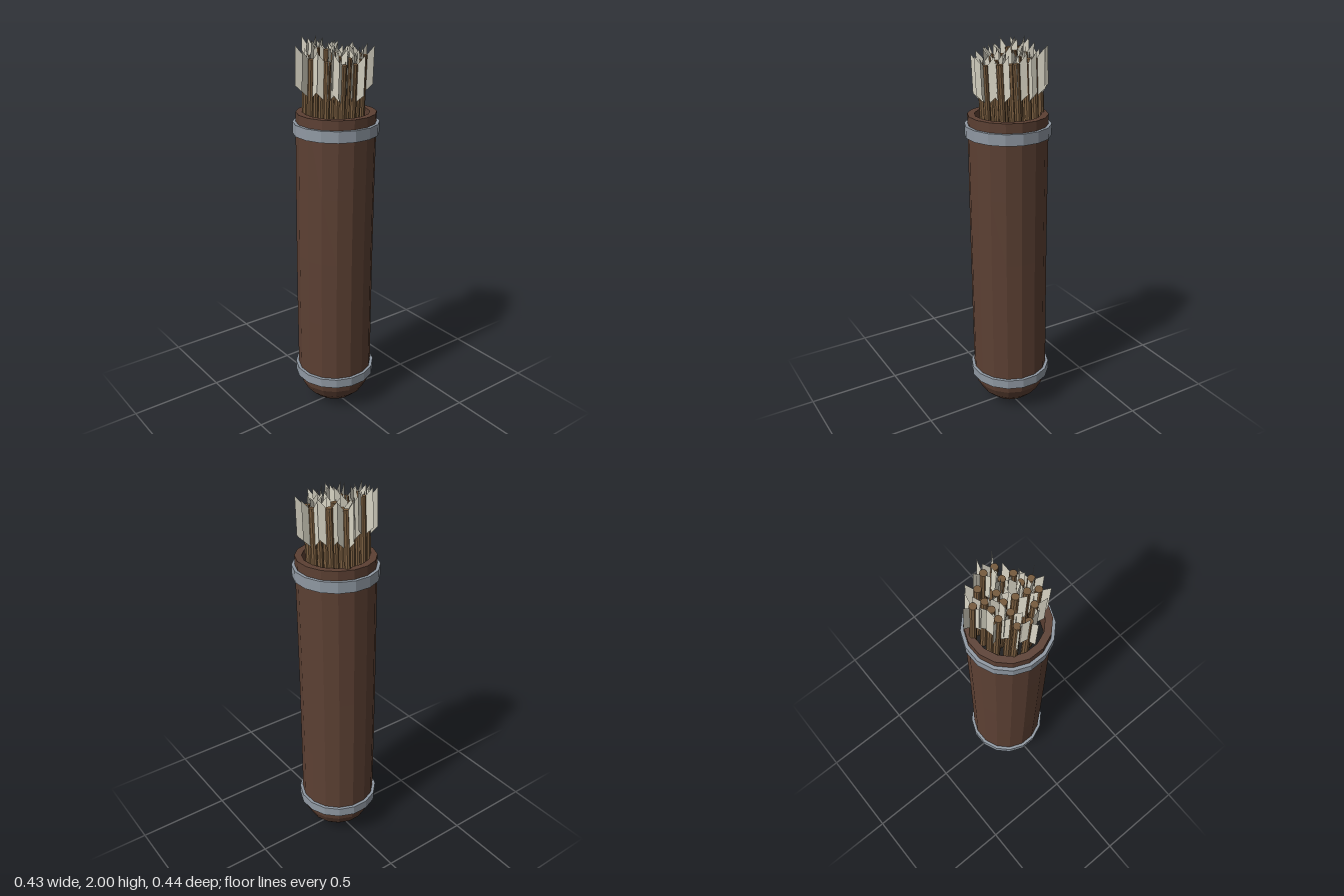
import * as THREE from 'three';

const mat = (color, extra = {}) =>
  new THREE.MeshStandardMaterial({ color, flatShading: true, ...extra });

export function createModel() {
  const model = new THREE.Group();
  const SIDES = 16;
  const leather = mat(0x5c4033);
  const metal = mat(0x9099a3);
  const wood = mat(0x785c3e);
  const feather = mat(0xd8d4c4, { side: THREE.DoubleSide });
  const dark = mat(0x0c0c0c);

  // The tube leans slightly forward and bows a little to one side
  const leanZ = (y) => -0.006 + 0.015 * (y / 1.65);
  const bowX = (y) => -0.005 * Math.sin((Math.PI * Math.min(y, 1.65)) / 1.65);

  const add = (geometry, material, name, parent = model) => {
    const mesh = new THREE.Mesh(geometry, material);
    mesh.name = name;
    parent.add(mesh);
    return mesh;
  };

  const turned = (points, material, name) => {
    const g = new THREE.LatheGeometry(
      points.map(([r, y]) => new THREE.Vector2(r, y)), SIDES, Math.PI / SIDES);
    const p = g.attributes.position;
    for (let i = 0; i < p.count; i++) {
      const y = p.getY(i);
      p.setX(i, p.getX(i) + bowX(y));
      p.setZ(i, p.getZ(i) + leanZ(y));
    }
    g.computeVertexNormals();
    return add(g, material, name);
  };

  // Leather tube: domed base, long wall, thick rim and inner wall
  const profile = [];
  for (let i = 0; i <= 5; i++) {
    const a = (i / 5) * Math.PI / 2;
    profile.push([0.2 * Math.sin(a), 0.19 * (1 - Math.cos(a))]);
  }
  profile.push([0.2, 0.55], [0.2, 0.9], [0.2, 1.25], [0.2, 1.645],
    [0.165, 1.645], [0.165, 1.5]);
  turned(profile, leather, 'tube');
  turned([[0.165, 1.5], [0, 1.5]], dark, 'tubeInterior');

  // Metal bands
  for (const [y0, y1, name] of [[0.175, 0.225, 'lowerBand'], [1.54, 1.597, 'upperBand']]) {
    turned([[0.195, y0], [0.216, y0], [0.216, y1], [0.195, y1]], metal, name);
  }

  // Feather vane, swept up and outward from the shaft end
  const vane = new THREE.ShapeGeometry(new THREE.Shape([
    new THREE.Vector2(0.014, -0.18), new THREE.Vector2(0.052, -0.145),
    new THREE.Vector2(0.052, 0.045), new THREE.Vector2(0.014, 0),
  ]));

  // Arrows: x, z and height of the shaft end, turn of the feathers
  const arrows = [
    [0.05, -0.136, 1.92, 0.05], [-0.07, -0.1, 1.95, 0.5], [-0.013, -0.09, 1.93, -0.4],
    [0.04, -0.083, 1.91, 0.9], [0.098, -0.073, 1.92, -0.6], [-0.132, -0.053, 1.92, 2.6],
    [-0.078, -0.043, 1.95, 0.4], [-0.022, -0.035, 1.94, -0.5], [0.035, -0.025, 1.92, 2.1],
    [-0.143, 0.002, 1.91, 1.6], [-0.03, 0.022, 1.93, 3.6], [0.145, -0.005, 1.91, -0.08],
    [0.08, 0.04, 1.9, 0.3], [0.138, 0.048, 1.91, -0.45], [-0.096, 0.07, 1.9, 2.6],
    [-0.038, 0.078, 1.92, 3.4], [0.013, 0.087, 1.91, -0.5], [0.07, 0.094, 1.9, 0.45],
    [-0.05, 0.132, 1.89, 0.5], [0.007, 0.14, 1.89, 3.8],
  ];
  const length = 0.42;
  arrows.forEach(([x, z, top, turn], i) => {
    const arrow = new THREE.Group();
    arrow.name = `arrow${i + 1}`;
    arrow.position.set(x, top, z);
    arrow.rotation.x = 0.05;
    model.add(arrow);
    const shaft = new THREE.CylinderGeometry(0.0175, 0.0175, length, 10);
    add(shaft, wood, 'shaft', arrow).position.y = -length / 2;
    for (let k = 0; k < 3; k++) {
      add(vane, feather, 'feather', arrow).rotation.y = turn + (k * Math.PI) / 2;
    }
  });

  return model;
}
